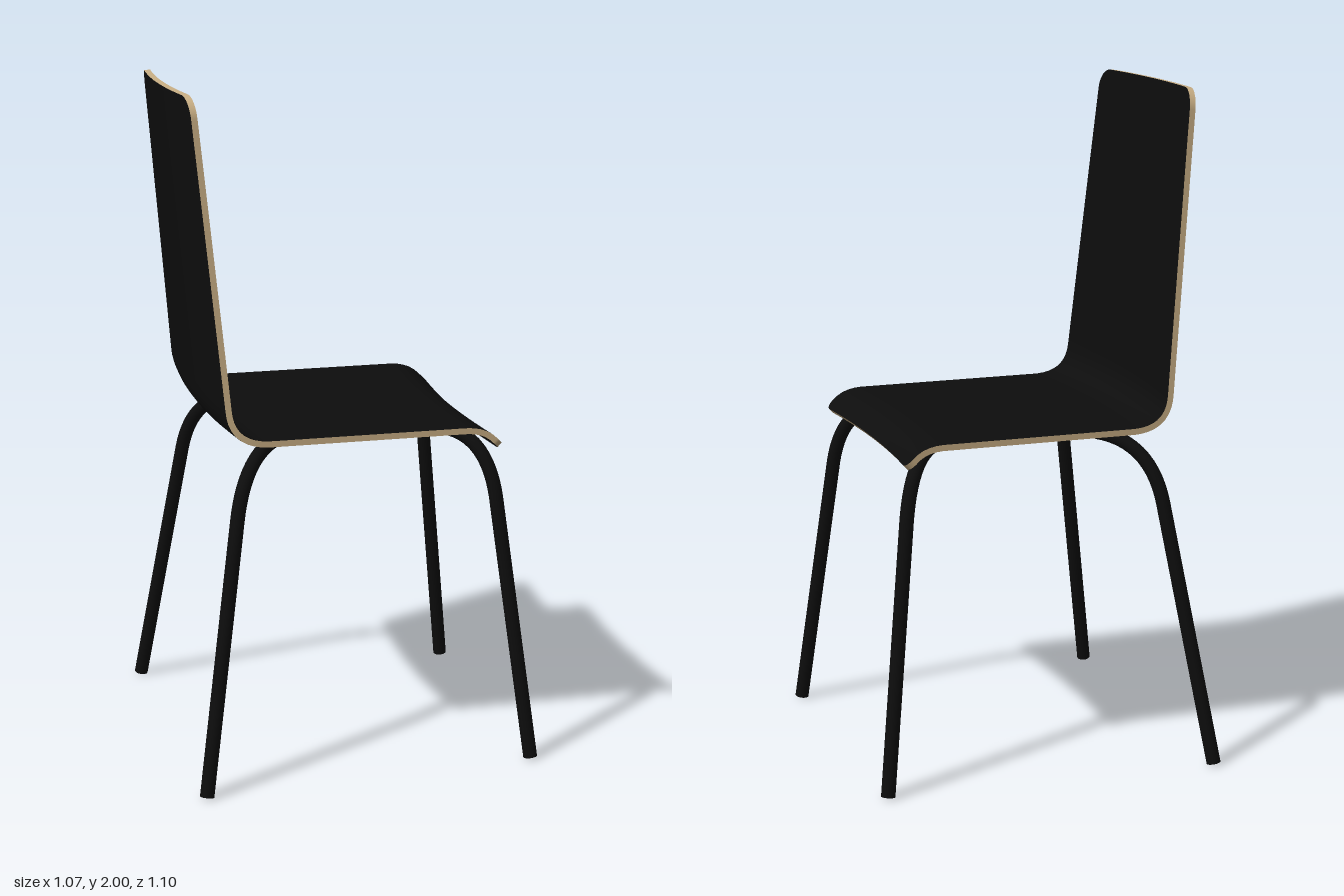
import * as THREE from 'three';

const black = new THREE.MeshStandardMaterial({ color: 0x0d0d0d });
const wood = new THREE.MeshStandardMaterial({ color: 0xc8ae84 });
const V = (x, y, z = 0) => new THREE.Vector3(x, y, z);

function addMesh(parent, name, geometry, material) {
  const mesh = new THREE.Mesh(geometry, material);
  mesh.name = name;
  parent.add(mesh);
  return mesh;
}

// Path of straight runs joined by bends: [start, (bendIn, corner, bendOut)..., end]
function bentPath(points) {
  const path = new THREE.CurvePath();
  let from = points[0];
  for (let i = 1; i + 2 < points.length; i += 3) {
    path.add(new THREE.LineCurve3(from, points[i]));
    path.add(new THREE.QuadraticBezierCurve3(points[i], points[i + 1], points[i + 2]));
    from = points[i + 2];
  }
  path.add(new THREE.LineCurve3(from, points[points.length - 1]));
  return path;
}

function indexed(positions, index) {
  const g = new THREE.BufferGeometry();
  g.setAttribute('position', new THREE.Float32BufferAttribute(positions, 3));
  g.setIndex(index);
  g.computeVertexNormals();
  return g;
}

// One bent plywood sheet forming seat and backrest
function buildShell() {
  const shell = new THREE.Group();
  shell.name = 'seatShell';
  const profile = bentPath([
    V(-0.505, 2.0), V(-0.424, 1.11), V(-0.415, 1.012), V(-0.3, 1.012),
    V(0.28, 1.012), V(0.335, 1.012), V(0.365, 0.985), V(0.395, 0.957),
  ]);
  const length = profile.getLength();
  const half = 0.009, topR = 0.06, frontR = 0.03, cols = 24;

  // Distances along the profile, finer at the rounded ends
  const stations = [];
  for (let k = 0; k < 10; k++) stations.push(topR * (1 - Math.cos(k / 10 * Math.PI / 2)));
  for (let k = 0; k <= 90; k++) stations.push(topR + (length - topR - frontR) * k / 90);
  for (let k = 9; k >= 0; k--) stations.push(length - frontR * (1 - Math.cos(k / 10 * Math.PI / 2)));

  const inset = (d, r) => (d >= r ? 0 : r - Math.sqrt(Math.max(0, r * r - (r - d) ** 2)));
  const upper = [], lower = [];
  for (const s of stations) {
    const t = Math.min(1, Math.max(0, s / length));
    const p = profile.getPoint(t), tan = profile.getTangent(t);
    const taper = THREE.MathUtils.clamp((p.y - 1.02) / 0.98, 0, 1);
    const width = 0.412 - 0.062 * taper - inset(s, topR) - inset(length - s, frontR);
    const bow = THREE.MathUtils.lerp(0.19, 0.12, t);
    for (let j = 0; j <= cols; j++) {
      const z = width * (2 * j / cols - 1);
      const x = p.x + bow * z * z;
      upper.push(x - tan.y * half, p.y + tan.x * half, z);
      lower.push(x + tan.y * half, p.y - tan.x * half, z);
    }
  }

  const rows = stations.length - 1, at = (i, j) => i * (cols + 1) + j;
  const faces = [], flipped = [];
  for (let i = 0; i < rows; i++) {
    for (let j = 0; j < cols; j++) {
      const a = at(i, j), b = at(i, j + 1), c = at(i + 1, j), d = at(i + 1, j + 1);
      faces.push(a, b, c, b, d, c);
      flipped.push(a, c, b, b, c, d);
    }
  }
  addMesh(shell, 'shellFrontFace', indexed(upper, faces), black);
  addMesh(shell, 'shellBackFace', indexed(lower, flipped), black);

  // Exposed wooden edge all around the sheet
  const loop = [];
  for (let j = 0; j < cols; j++) loop.push(at(0, j));
  for (let i = 0; i < rows; i++) loop.push(at(i, cols));
  for (let j = cols; j > 0; j--) loop.push(at(rows, j));
  for (let i = rows; i > 0; i--) loop.push(at(i, 0));
  const edge = [], edgeFaces = [], n = loop.length;
  loop.forEach((v, k) => {
    edge.push(...upper.slice(v * 3, v * 3 + 3), ...lower.slice(v * 3, v * 3 + 3));
    const a = 2 * k, c = 2 * ((k + 1) % n);
    edgeFaces.push(a, a + 1, c, a + 1, c + 1, c);
  });
  addMesh(shell, 'shellEdge', indexed(edge, edgeFaces), wood);
  return shell;
}

// Bent tube running from a back foot, under the seat, to the opposite front foot
function buildLegPair(name, back, front) {
  const pair = new THREE.Group();
  pair.name = name;
  const radius = 0.021;
  const on = (x, y) => V(0, y).addScaledVector(back, 0.5 - x).addScaledVector(front, 0.5 + x);
  const path = bentPath([
    on(-0.5, 0.003), on(-0.378, 0.78), on(-0.348, 0.983), on(-0.21, 0.983),
    on(0.28, 0.983), on(0.383, 0.983), on(0.408, 0.8), on(0.5, 0.003),
  ]);
  addMesh(pair, 'legTube', new THREE.TubeGeometry(path, 120, radius, 16), black);
  for (const t of [0, 1]) {
    const cap = addMesh(pair, 'footCap', new THREE.CircleGeometry(radius, 16), black);
    const out = path.getTangent(t).multiplyScalar(t ? 1 : -1);
    cap.position.copy(path.getPoint(t));
    cap.quaternion.setFromUnitVectors(V(0, 0, 1), out);
  }
  return pair;
}

export function createModel() {
  const chair = new THREE.Group();
  chair.name = 'chair';

  const shell = buildShell();
  shell.rotation.y = -0.025;
  shell.position.z = 0.015;
  chair.add(shell);

  chair.add(buildLegPair('legPairA', V(-0.487, 0, -0.533), V(0.49, 0, 0.494)));
  chair.add(buildLegPair('legPairB', V(-0.512, 0, 0.528), V(0.512, 0, -0.444)));
  return chair;
}
